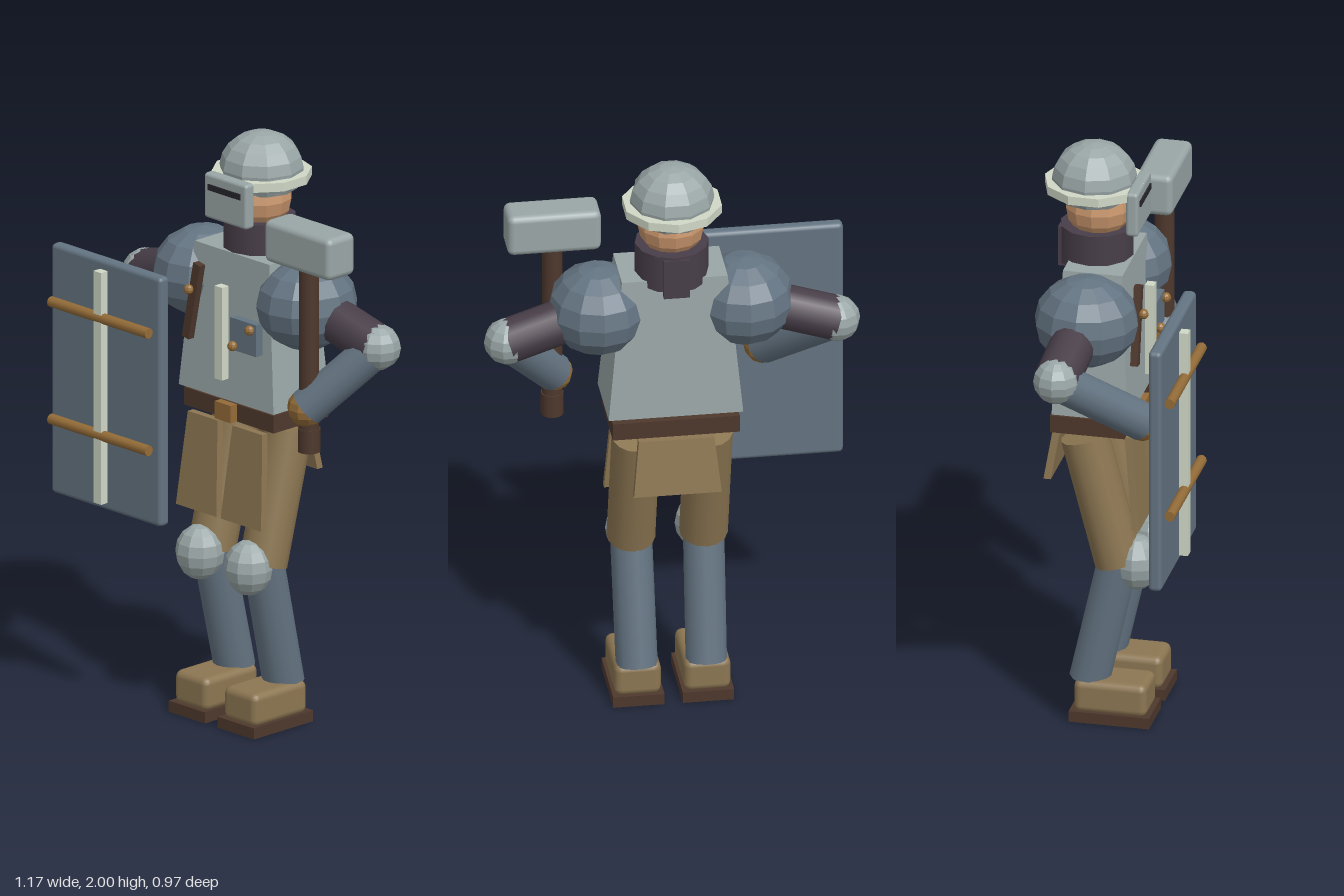
import * as THREE from 'three';
import { RoundedBoxGeometry } from 'three/addons/geometries/RoundedBoxGeometry.js';

const paint = (name, color) => {
  const m = new THREE.MeshStandardMaterial({ color });
  m.name = name;
  return m;
};

export function createModel() {
  const steel = paint('pale steel', 0x9aa6a6);
  const blue = paint('blue steel', 0x647482);
  const cloth = paint('dark cloth', 0x483e49);
  const khaki = paint('khaki leather', 0x8c7652);
  const wood = paint('dark brown', 0x4e382d);
  const brass = paint('brass', 0x946c38);
  const cream = paint('cream trim', 0xd0d8c6);
  const skin = paint('skin', 0xc8956c);
  const dark = paint('slit black', 0x26262c);

  const knight = new THREE.Group();
  knight.name = 'armouredFigure';

  const add = (name, geometry, material, x, y, z) => {
    const mesh = new THREE.Mesh(geometry, material);
    mesh.name = name;
    mesh.position.set(x, y, z);
    knight.add(mesh);
    return mesh;
  };
  const flat = (geometry) => {
    const g = geometry.index ? geometry.toNonIndexed() : geometry;
    g.computeVertexNormals();
    return g;
  };
  const box = (w, h, d) => new THREE.BoxGeometry(w, h, d);
  const round = (w, h, d, r) => new RoundedBoxGeometry(w, h, d, 2, r);
  const ball = (r, ws = 10, hs = 8) => flat(new THREE.SphereGeometry(r, ws, hs));

  // Box whose top face has its own width, depth and forward shift
  const taper = (w, h, d, topW, topD, shift = 0) => {
    const g = box(w, h, d);
    const p = g.attributes.position;
    for (let i = 0; i < p.count; i++) {
      if (p.getY(i) > 0) {
        p.setX(i, p.getX(i) * topW / w);
        p.setZ(i, p.getZ(i) * topD / d + shift);
      }
    }
    return flat(g);
  };

  // Cylinder between two points
  const limb = (name, from, to, r, material) => {
    const a = new THREE.Vector3(...from);
    const b = new THREE.Vector3(...to);
    const dir = b.clone().sub(a);
    const mesh = add(name, new THREE.CylinderGeometry(r, r, dir.length(), 14), material, 0, 0, 0);
    mesh.position.copy(a).add(b).multiplyScalar(0.5);
    mesh.quaternion.setFromUnitVectors(new THREE.Vector3(0, 1, 0), dir.normalize());
  };

  // Legs and boots
  for (const [side, s] of [['left', 1], ['right', -1]]) {
    limb(side + 'Thigh', [s * 0.12, 1.0, -0.035], [s * 0.12, 0.56, 0.08], 0.08, khaki);
    limb(side + 'Shin', [s * 0.12, 0.57, 0.08], [s * 0.115, 0.13, -0.018], 0.069, blue);
    add(side + 'KneeGuard', ball(0.082), steel, s * 0.115, 0.56, 0.14).scale.y = 1.14;
    add(side + 'Boot', round(0.155, 0.115, 0.245, 0.025), khaki, s * 0.115, 0.0875, 0.065);
    add(side + 'Sole', box(0.17, 0.038, 0.27), wood, s * 0.115, 0.019, 0.065);
    add(side + 'FrontTasset', taper(0.19, 0.32, 0.025, 0.14, 0.025, -0.03), khaki, s * 0.105, 0.87, 0.155);
  }
  add('backTasset', taper(0.29, 0.19, 0.025, 0.25, 0.025, 0.03), khaki, 0, 0.935, -0.155);

  // Torso and belt
  add('breastplate', taper(0.445, 0.5, 0.255, 0.35, 0.2), steel, 0, 1.36, 0.005);
  add('belt', box(0.42, 0.06, 0.25), wood, 0, 1.07, -0.005);
  add('buckle', box(0.075, 0.06, 0.03), brass, 0, 1.07, 0.133);
  add('chestRidge', box(0.035, 0.32, 0.03), cream, 0.005, 1.35, 0.158);
  add('chestStrap', box(0.032, 0.27, 0.025), wood, -0.14, 1.422, 0.145).rotation.z = -0.2;
  add('strapStud', ball(0.017, 8, 6), brass, -0.14, 1.465, 0.168);
  add('chestPatch', box(0.12, 0.11, 0.03), blue, 0.113, 1.36, 0.15);
  add('patchStudUpper', ball(0.017, 8, 6), brass, 0.153, 1.395, 0.175);
  add('patchStudLower', ball(0.017, 8, 6), brass, 0.073, 1.322, 0.175);

  // Collar and head
  add('collar', new THREE.CylinderGeometry(0.122, 0.122, 0.13, 12), cloth, 0, 1.65, -0.02);
  add('collarTab', box(0.085, 0.14, 0.025), cloth, 0, 1.635, -0.13);
  add('head', ball(0.112, 12, 8), skin, 0, 1.78, -0.015);

  // Helmet with brim and face plate
  add('helmet', flat(new THREE.SphereGeometry(0.14, 10, 7, 0, Math.PI * 2, 0, Math.PI * 0.68)),
    steel, 0, 1.875, -0.03).scale.y = 0.89;
  add('helmetLining', new THREE.CylinderGeometry(0.117, 0.117, 0.01, 10), steel, 0, 1.82, -0.03);
  add('brim', flat(new THREE.CylinderGeometry(0.166, 0.166, 0.03, 10)), cream, 0, 1.855, -0.03);
  add('visor', round(0.2, 0.155, 0.042, 0.012), steel, 0, 1.795, 0.118);
  add('visorSlit', box(0.15, 0.02, 0.008), dark, 0, 1.828, 0.14);

  // Arms: the hands sit at different places
  const hands = { left: [0.37, 1.17, 0.125], right: [-0.335, 1.17, 0.21] };
  for (const [side, s] of [['left', 1], ['right', -1]]) {
    const elbow = [s * 0.545, 1.385, -0.03];
    add(side + 'Pauldron', ball(0.17, 12, 8), blue, s * 0.242, 1.47, 0).scale.set(0.97, 0.9, 1.02);
    limb(side + 'UpperArm', [s * 0.27, 1.465, -0.01], elbow, 0.075, cloth);
    add(side + 'ElbowGuard', ball(0.077), steel, ...elbow);
    limb(side + 'Forearm', elbow, hands[side], 0.065, blue);
    add(side + 'Hand', ball(0.064), brass, ...hands[side]);
  }

  // Hammer
  add('hammerHandle', new THREE.CylinderGeometry(0.034, 0.034, 0.64, 12), wood, 0.375, 1.345, 0.118);
  add('hammerPommel', new THREE.CylinderGeometry(0.038, 0.038, 0.08, 12), wood, 0.375, 1.06, 0.118);
  add('hammerHead', round(0.31, 0.145, 0.125, 0.022), steel, 0.375, 1.723, 0.116);

  // Shield with ribs
  add('shield', round(0.515, 0.86, 0.045, 0.015), blue, -0.356, 1.12, 0.315);
  add('shieldRib', box(0.036, 0.8, 0.03), cream, -0.358, 1.12, 0.357);
  for (const y of [0.955, 1.36]) {
    const bar = add('shieldBar', new THREE.CylinderGeometry(0.018, 0.018, 0.46, 10), brass, -0.358, y, 0.36);
    bar.rotation.z = Math.PI / 2;
  }

  // The figure stands turned to its right
  knight.rotation.y = -Math.PI / 4;
  knight.position.set(0.1, 0, -0.018);
  const model = new THREE.Group();
  model.name = 'model';
  model.add(knight);
  return model;
}
